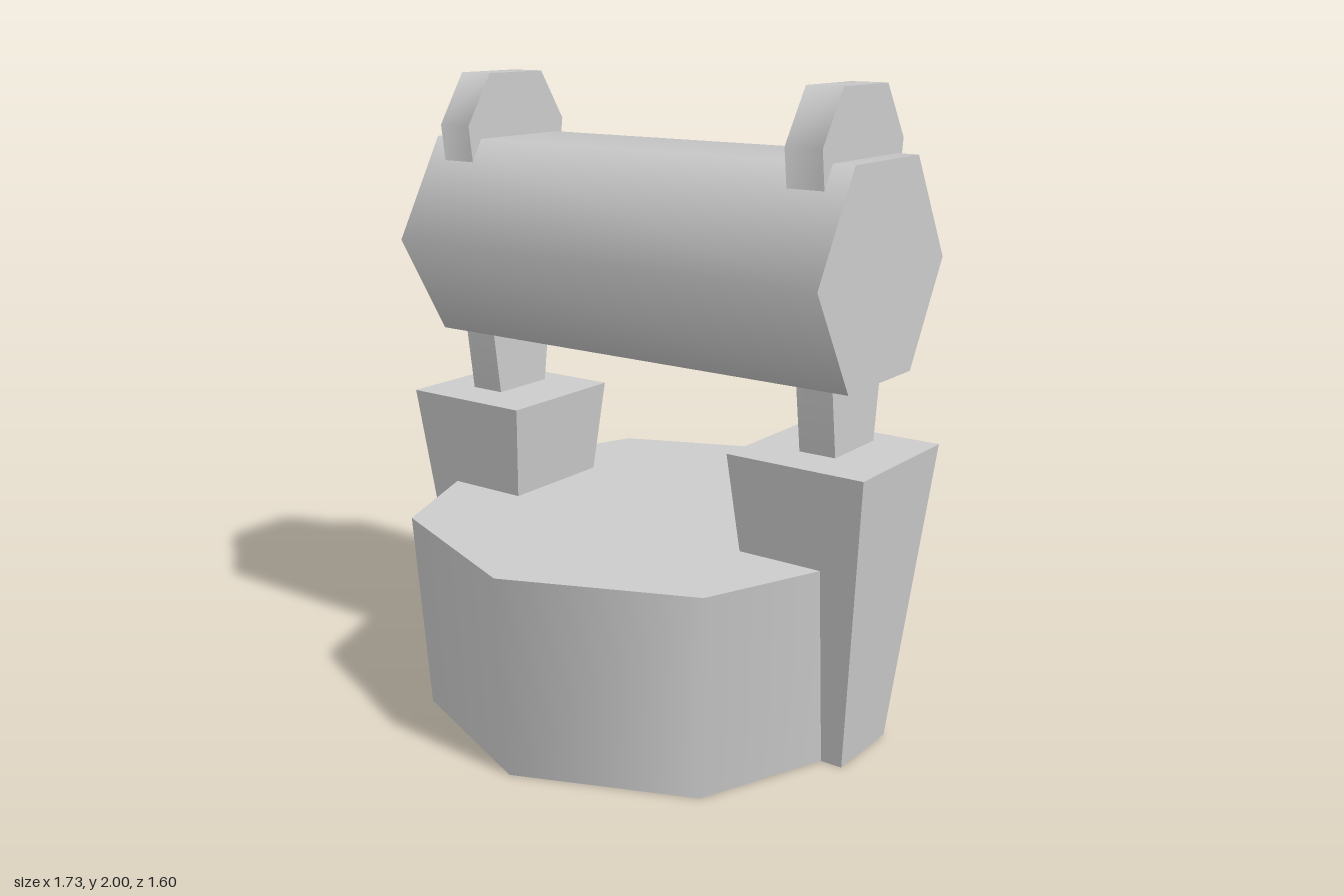
import * as THREE from 'three';
import { toCreasedNormals } from 'three/addons/utils/BufferGeometryUtils.js';

const material = new THREE.MeshStandardMaterial({ color: 0xcccccc });
const openMaterial = new THREE.MeshStandardMaterial({ color: 0xcccccc, side: THREE.DoubleSide });

function part(name, geometry, mat = material) {
  const mesh = new THREE.Mesh(geometry, mat);
  mesh.name = name;
  return mesh;
}

// Post that widens upward; x ranges are given for the +x side and mirrored
function postGeometry(side) {
  const geometry = new THREE.BoxGeometry(1, 1, 1);
  const p = geometry.attributes.position;
  for (let i = 0; i < p.count; i++) {
    const top = p.getY(i) > 0;
    const centre = side * (top ? 0.637 : 0.635);
    const width = top ? 0.455 : 0.27;
    const depth = top ? 0.46 : 0.265;
    p.setXYZ(i, centre + p.getX(i) * width, top ? 0.94 : 0, p.getZ(i) * depth);
  }
  geometry.computeVertexNormals();
  return geometry;
}

// Six-sided strap plate that passes through the barrel
function strapGeometry() {
  const half = [[0.113, 0.95], [0.23, 1.84], [0.125, 2]];
  const outline = [...half, ...half.map(([z, y]) => [-z, y]).reverse()];
  const shape = new THREE.Shape(outline.map(([z, y]) => new THREE.Vector2(z, y)));
  const geometry = new THREE.ExtrudeGeometry(shape, { depth: 0.12, bevelEnabled: false });
  geometry.translate(0, 0, -0.06).rotateY(Math.PI / 2);
  return toCreasedNormals(geometry, THREE.MathUtils.degToRad(66));
}

export function createModel() {
  const group = new THREE.Group();
  group.name = 'barrelOnStand';

  // Eight-sided base, open underneath
  const wall = part('baseWall', new THREE.CylinderGeometry(0.798, 0.755, 0.635, 8, 1, true), openMaterial);
  wall.position.y = 0.3175;
  const lid = part('baseTop', new THREE.CircleGeometry(0.798, 8).rotateX(-Math.PI / 2), openMaterial);
  lid.position.y = 0.635;
  group.add(wall, lid);

  // Six-sided barrel lying along x
  const barrel = part('barrel', new THREE.CylinderGeometry(0.368, 0.368, 1.55, 6).rotateZ(Math.PI / 2));
  barrel.position.set(0, 1.478, -0.013);
  group.add(barrel);

  // Posts and straps on both sides
  for (const [side, label] of [[1, 'left'], [-1, 'right']]) {
    group.add(part(label + 'Post', postGeometry(side)));
    const strap = part(label + 'Strap', strapGeometry());
    strap.position.set(side * 0.645, 0, -0.003);
    group.add(strap);
  }
  return group;
}
